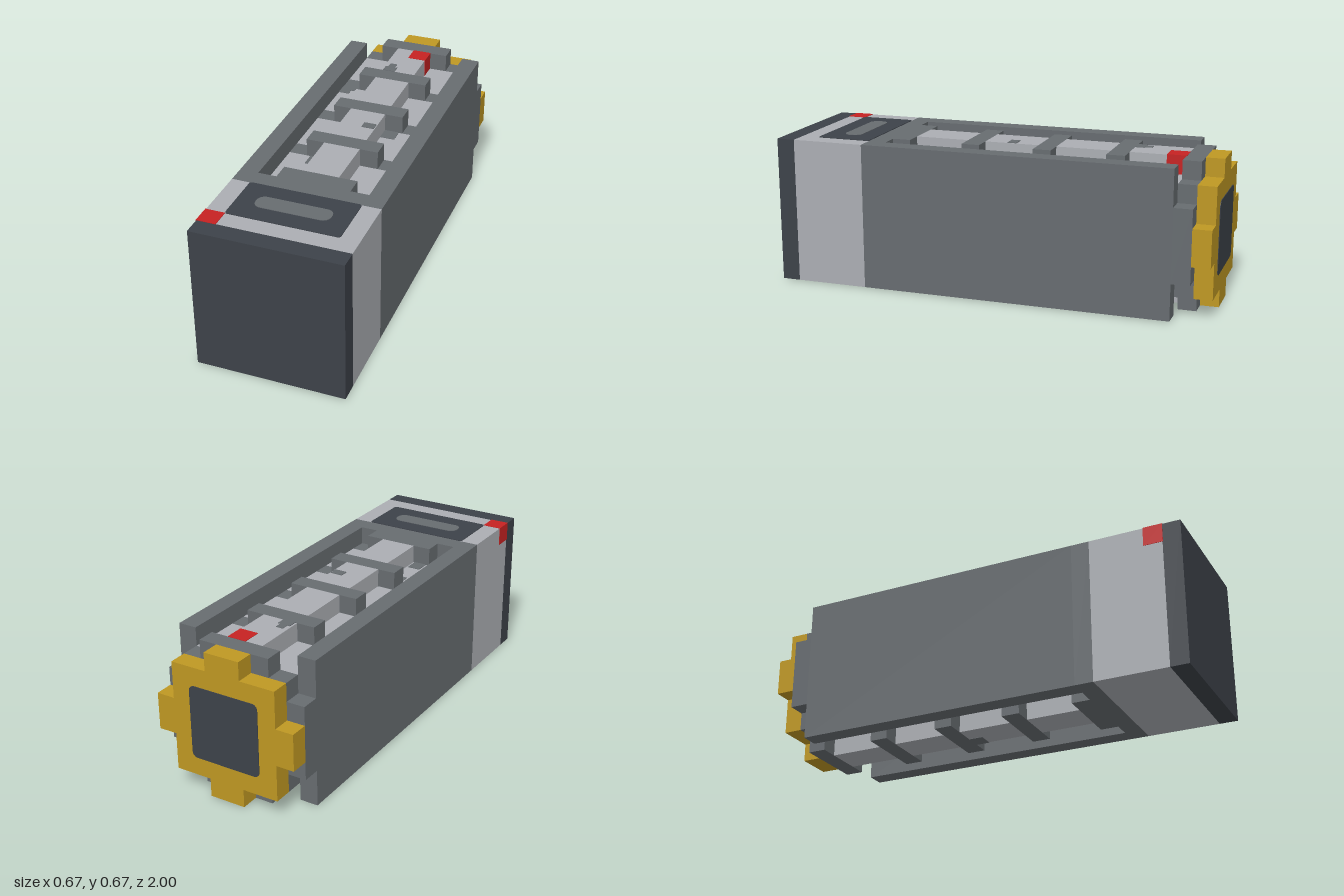
import * as THREE from 'three';

const U = 1 / 12; // one block; the model is 8 x 8 x 24 blocks

export function createModel() {
  const model = new THREE.Group();
  model.name = 'poweredCell';
  const mat = (name, color) => {
    const m = new THREE.MeshStandardMaterial({ color });
    m.name = name;
    return m;
  };
  const grey = mat('casing grey', 0x676c70);
  const light = mat('light grey', 0xabaeb3);
  const dark = mat('dark slate', 0x3d4249);
  const gold = mat('gold', 0xbf9823);
  const red = mat('red', 0xc62222);

  const add = (name, geometry, material) => {
    const mesh = new THREE.Mesh(geometry, material);
    mesh.name = name;
    model.add(mesh);
    return mesh;
  };

  // Box from its limits, in blocks, optionally grown by a little on all sides
  const block = (name, material, x0, x1, y0, y1, z0, z1, grow = 0) => {
    const g = new THREE.BoxGeometry((x1 - x0) * U + grow, (y1 - y0) * U + grow, (z1 - z0) * U + grow);
    g.translate((x0 + x1) * U / 2, (y0 + y1) * U / 2, (z0 + z1) * U / 2);
    return add(name, g, material);
  };

  // Stepped symmetrical section, from half widths and half heights, extruded along z
  const stepped = (name, material, steps, z0, z1) => {
    const q = [];
    steps.forEach(([w, h], i) => {
      q.push([w, h]);
      if (i + 1 < steps.length) q.push([w, steps[i + 1][1]]);
    });
    const r = [...q].reverse();
    const points = [
      ...q, ...r.map(([x, y]) => [x, -y]),
      ...q.map(([x, y]) => [-x, -y]), ...r.map(([x, y]) => [-x, y]),
    ].map(([x, y]) => new THREE.Vector2(x * U, (y + 4) * U));
    const g = new THREE.ExtrudeGeometry(new THREE.Shape(points), { depth: (z1 - z0) * U, bevelEnabled: false });
    g.translate(0, 0, z0 * U);
    return add(name, g, material);
  };

  // Thin plate with rounded corners, lying in the xy plane
  const plate = (name, material, w, h, radius, thickness) => {
    const x = w / 2, y = h / 2, s = new THREE.Shape();
    s.absarc(x - radius, y - radius, radius, 0, Math.PI / 2);
    s.absarc(-x + radius, y - radius, radius, Math.PI / 2, Math.PI);
    s.absarc(-x + radius, -y + radius, radius, Math.PI, Math.PI * 1.5);
    s.absarc(x - radius, -y + radius, radius, Math.PI * 1.5, Math.PI * 2);
    const g = new THREE.ExtrudeGeometry(s, { depth: thickness, bevelEnabled: false, curveSegments: 4 });
    return add(name, g, material);
  };

  // Front cap, light band and collar
  block('frontCap', dark, -4, 4, 0, 8, 11, 12);
  block('lightBand', light, -4, 4, 0, 8, 7, 11);
  block('collar', grey, -4, 4, 0, 8, 6, 7);

  // Side walls
  for (const s of [-1, 1]) {
    block(s > 0 ? 'leftWall' : 'rightWall', grey, s * 3.5 - 0.5, s * 3.5 + 0.5, 0, 8, -10, 6);
  }

  // Ribs with lengths of the light core between them
  const ribs = [-7, -3, 1, 5];
  let start = -10;
  for (const z of ribs) {
    stepped('core', light, [[1, 4], [3, 3]], start, z);
    stepped('rib', grey, [[2, 4], [3, 3]], z, z + 1);
    start = z + 1;
  }

  // Rear ring and toothed end plate
  stepped('rearRing', grey, [[2, 4], [3, 3], [4, 2]], -11, -10);
  stepped('toothedPlate', gold, [[1, 4], [3, 3], [4, 1]], -12, -11);
  plate('rearPanel', dark, 4 * U, 4 * U, 0.025, 0.006).position.set(0, 4 * U, -12 * U - 0.003);

  // Top panel with its slot
  const panel = plate('topPanel', dark, 6 * U, 3 * U, 0.012, 0.006);
  panel.rotation.x = -Math.PI / 2;
  panel.position.set(0, 8 * U - 0.003, 8.5 * U);
  const slot = plate('panelSlot', grey, 4 * U, U, 0.035, 0.006);
  slot.rotation.x = -Math.PI / 2;
  slot.position.set(0, 8 * U - 0.001, 8.5 * U);

  // Red lamps
  block('frontLamp', red, -4, -3, 7, 8, 10, 11, 0.004);
  block('rearLamp', red, 0, 1, 7, 8, -10, -9, 0.004);

  // Worn patches on the core: x range, z range, height in blocks
  const patches = [
    [-0.9, -0.2, -7.5, -7, 8], [-0.75, -0.35, -7.9, -7.5, 8],
    [-3, -2.2, -6, -5.7, 7], [-3, -2.4, -5.7, -5.3, 7],
    [1, 1.8, -2, -1.2, 7], [0.25, 0.95, -0.75, -0.25, 8],
    [-1.8, -1.1, 2, 2.8, 7], [-1.8, -1.1, 4.2, 5, 7],
    [0.1, 1, -2, -1.2, 0],
  ];
  for (const [x0, x1, z0, z1, y] of patches) {
    block('wornPatch', grey, x0, x1, y - 0.03, y + 0.03, z0, z1);
  }

  return model;
}
